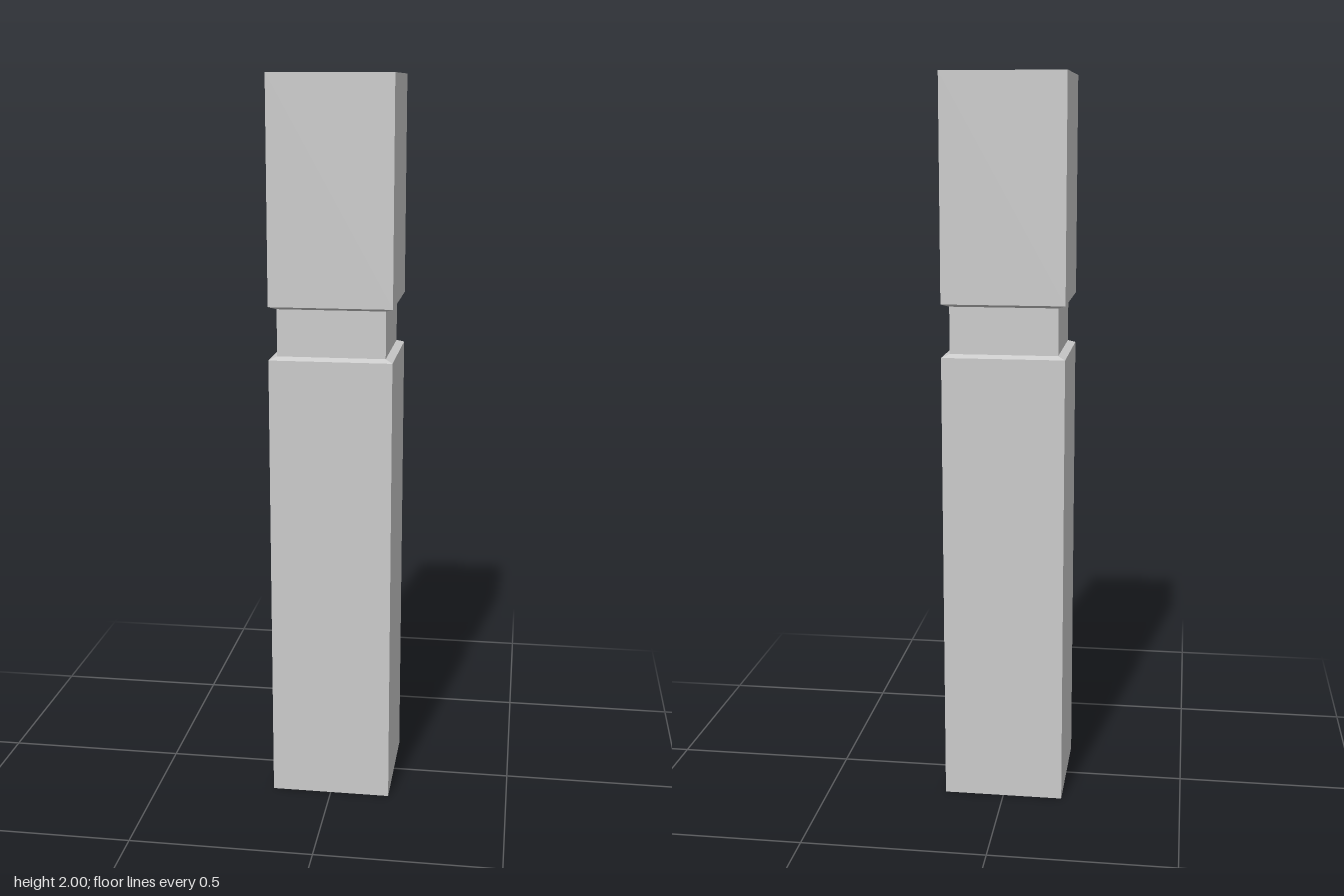
import * as THREE from 'three';

const HALF = 0.166; // half width of the post
const NECK = 0.146; // half width of the recessed band

// Square section swept along a [halfWidth, y] profile, bottom to top
function squarePart(name, profile, material) {
  const points = profile.map(([w, y]) => new THREE.Vector2(w * Math.SQRT2, y));
  const geometry = new THREE.LatheGeometry(points, 4, Math.PI / 4).toNonIndexed();
  geometry.computeVertexNormals();
  const mesh = new THREE.Mesh(geometry, material);
  mesh.name = name;
  return mesh;
}

export function createModel() {
  const model = new THREE.Group();
  model.name = 'bollard';
  const grey = new THREE.MeshStandardMaterial({ color: 0xcccccc, flatShading: true });

  model.add(
    // Lower post with a slightly sloped shoulder
    squarePart('lowerPost', [[0, 0], [HALF, 0], [HALF, 1.259], [NECK, 1.267]], grey),
    // Recessed band
    squarePart('neck', [[NECK, 1.267], [NECK, 1.394]], grey),
    // Upper block with a matching sloped underside
    squarePart('upperBlock', [[NECK, 1.394], [HALF, 1.402], [HALF, 2], [0, 2]], grey)
  );
  return model;
}
